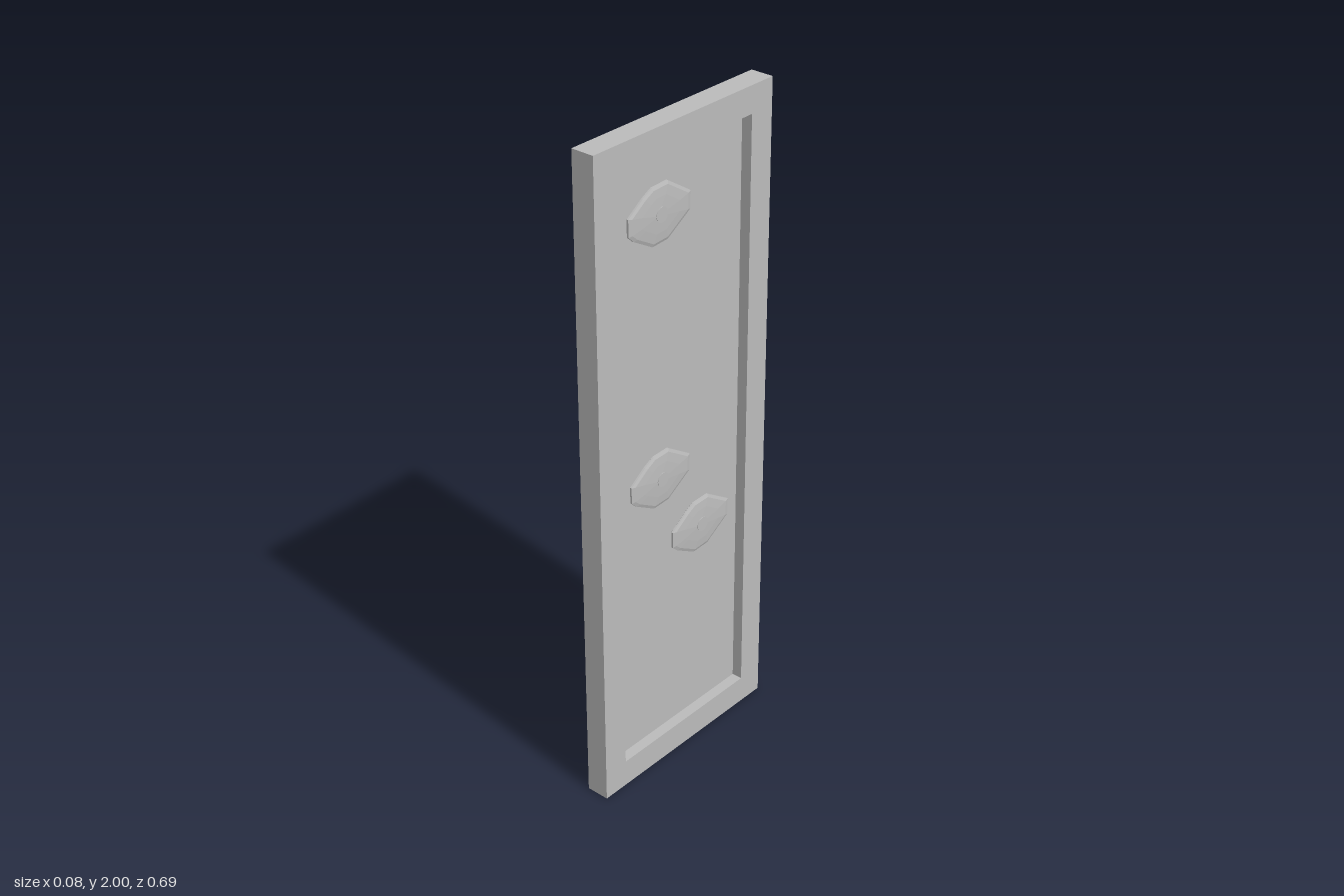
import * as THREE from 'three';

const BACK = -0.038, FLOOR = 0, FRONT = 0.033;
const grey = new THREE.MeshStandardMaterial({ color: 0xbcbcbc });
grey.name = 'grey';

// Rectangle path centred on the panel
function rect(path, halfW, y0, y1) {
  path.moveTo(-halfW, y0);
  path.lineTo(halfW, y0);
  path.lineTo(halfW, y1);
  path.lineTo(-halfW, y1);
  path.closePath();
  return path;
}

function part(name, geometry) {
  const mesh = new THREE.Mesh(geometry, grey);
  mesh.name = name;
  return mesh;
}

// Faceted plate with a shallow crown: outline points are joined ring by ring
function plateGeometry() {
  const outline = [
    [-0.12, 0.025], [-0.12, -0.025], [-0.1, -0.043], [-0.03, -0.083], [0.03, -0.08],
    [0.118, -0.026], [0.12, 0.025], [0.03, 0.083], [-0.03, 0.081], [-0.065, 0.063],
  ];
  // scale of the outline, and depth, from the back to the crown
  const rings = [[0.94, 0.02], [1, 0.024], [1, 0.0295], [0.9, 0.0325], [0.6, 0.0345]];
  const n = outline.length, pos = [], idx = [];
  pos.push(0, 0, rings[0][1]);
  for (const [s, z] of rings) for (const [x, y] of outline) pos.push(x * s, y * s, z);
  pos.push(-0.015, 0, 0.0365);
  const apex = 1 + rings.length * n;
  for (let i = 0; i < n; i++) {
    const j = (i + 1) % n;
    idx.push(0, 1 + j, 1 + i);
    for (let r = 0; r < rings.length - 1; r++) {
      const a = 1 + r * n, b = a + n;
      idx.push(a + i, a + j, b + j, a + i, b + j, b + i);
    }
    idx.push(apex - n + i, apex - n + j, apex);
  }
  const g = new THREE.BufferGeometry();
  g.setAttribute('position', new THREE.Float32BufferAttribute(pos, 3));
  g.setIndex(idx);
  const flat = g.toNonIndexed();
  flat.computeVertexNormals();
  return flat;
}

// Round stud along the panel's depth
function stud(name, radius, z0, z1) {
  const g = new THREE.CylinderGeometry(radius, radius, z1 - z0, 12);
  g.rotateX(Math.PI / 2).translate(0, 0, (z0 + z1) / 2);
  return part(name, g);
}

export function createModel() {
  const model = new THREE.Group();
  model.name = 'panel';

  // Built facing +z, then turned to face +x
  const body = new THREE.Group();
  body.name = 'panelBody';
  body.rotation.y = Math.PI / 2;
  model.add(body);

  // Solid backing board
  const board = new THREE.BoxGeometry(0.69, 2, FLOOR - BACK);
  board.translate(0, 1, (FLOOR + BACK) / 2);
  body.add(part('backBoard', board));

  // Raised border around the recess
  const border = rect(new THREE.Shape(), 0.345, 0, 2);
  border.holes.push(rect(new THREE.Path(), 0.262, 0.085, 1.92));
  const frame = new THREE.ExtrudeGeometry(border, { depth: FRONT - FLOOR, bevelEnabled: false });
  body.add(part('raisedFrame', frame.translate(0, 0, FLOOR)));

  // Three identical mounted plates
  const plate = plateGeometry();
  for (const [z, y] of [[0.098, 1.76], [0.098, 0.97], [-0.07, 0.743]]) {
    const mount = new THREE.Group();
    mount.name = 'mountedPlate';
    mount.position.set(-z, y, 0);
    const boss = stud('centreBoss', 0.022, 0.03, 0.0375);
    mount.add(part('facetedPlate', plate), boss, stud('stem', 0.025, FLOOR, 0.022));
    body.add(mount);
  }
  return model;
}
